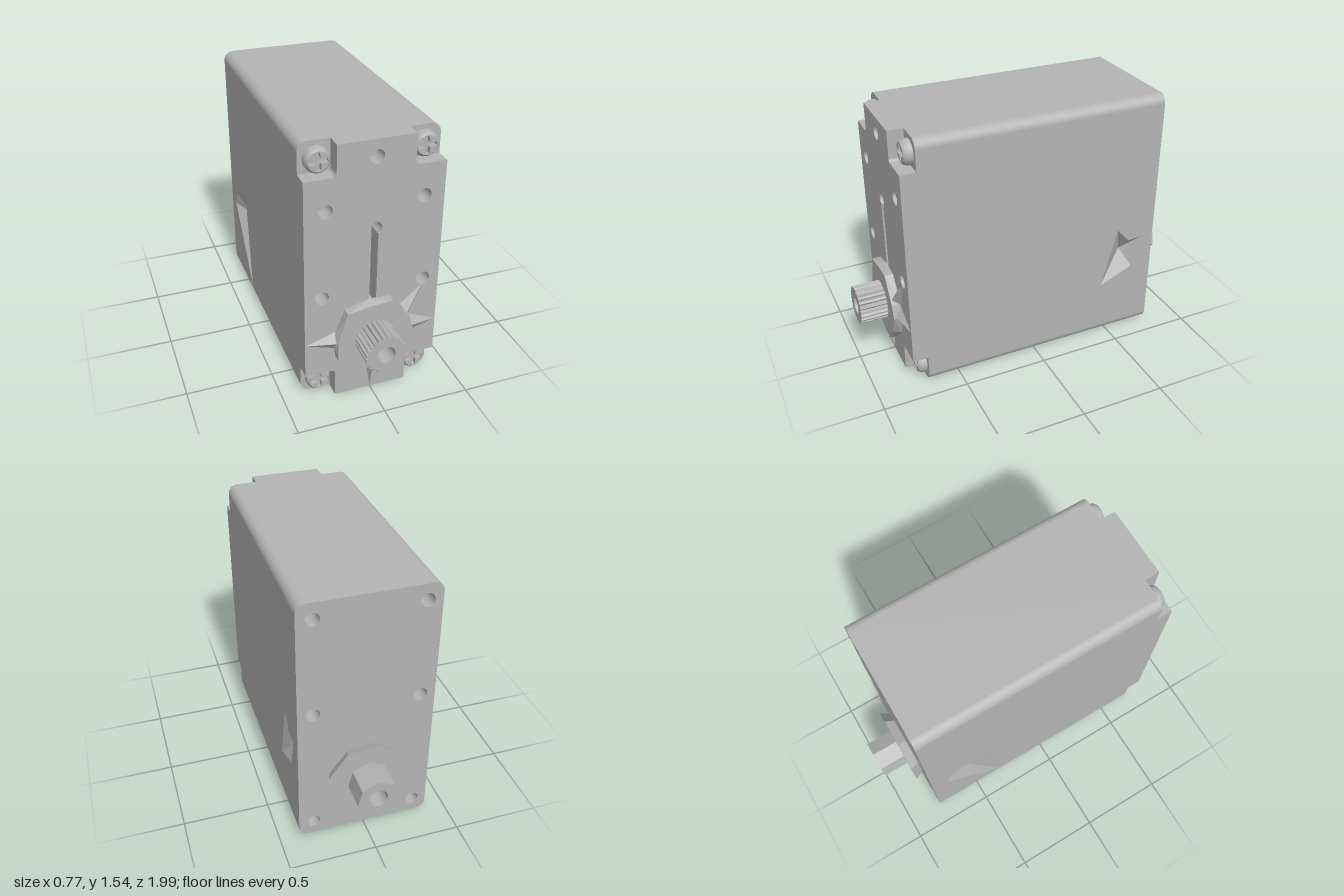
import * as THREE from 'three';
import { toCreasedNormals } from 'three/addons/utils/BufferGeometryUtils.js';
import { ConvexGeometry } from 'three/addons/geometries/ConvexGeometry.js';

const grey = new THREE.MeshStandardMaterial({ color: 0xb4b4b4, side: THREE.DoubleSide });
grey.name = 'plain grey';

const W = 0.385, Y0 = 0.01, Y1 = 1.55, R = 0.055; // case half width, bottom, top, corner radius
const BACK = -0.785, STEP = 0.69, FRONT = 0.78;   // case depth stations
const AXIS = 0.392;                               // height of the output shaft
const SCREWS = [[-0.29, 1.455], [0.29, 1.455], [-0.29, 0.1], [0.29, 0.1]];

export function createModel() {
  const model = new THREE.Group();
  model.name = 'servo';
  const add = (name, geo, x = 0, y = 0, z = 0, parent = model) => {
    const m = new THREE.Mesh(geo, grey);
    m.name = name;
    m.position.set(x, y, z);
    parent.add(m);
    return m;
  };
  const poly = (pts, C = THREE.Shape) => new C(pts.map(p => new THREE.Vector2(p[0], p[1])));
  const circle = (x, y, r, C = THREE.Path) => new C().absarc(x, y, r, 0, Math.PI * 2, false);
  const extrude = (shape, depth) => toCreasedNormals(
    new THREE.ExtrudeGeometry(shape, { depth, bevelEnabled: false, curveSegments: 20 }), 0.6);

  const roundedRect = () => {
    const s = new THREE.Shape();
    s.absarc(W - R, Y1 - R, R, 0, Math.PI / 2);
    s.absarc(-W + R, Y1 - R, R, Math.PI / 2, Math.PI);
    s.absarc(-W + R, Y0 + R, R, Math.PI, Math.PI * 1.5);
    s.absarc(W - R, Y0 + R, R, Math.PI * 1.5, Math.PI * 2);
    return s;
  };

  // Flat case wall with an optional jagged dent sunk to a point
  const wall = (name, u0, u1, v0, v1, dent, apex, turn, pos) => {
    const g = new THREE.Group();
    const s = poly([[u0, v0], [u1, v0], [u1, v1], [u0, v1]]);
    if (dent) {
      s.holes.push(poly(dent, THREE.Path));
      const p = [];
      dent.forEach((a, i) => {
        const b = dent[(i + 1) % dent.length];
        p.push(a[0], a[1], 0, b[0], b[1], 0, ...apex);
      });
      const d = new THREE.BufferGeometry();
      d.setAttribute('position', new THREE.Float32BufferAttribute(p, 3));
      d.computeVertexNormals();
      add(name + 'Dent', d, 0, 0, 0, g);
    }
    add(name, new THREE.ShapeGeometry(s), 0, 0, 0, g);
    g.name = name + 'Group';
    g.rotation.set(turn[0], turn[1], 0);
    g.position.set(...pos);
    model.add(g);
  };
  const q = Math.PI / 2;
  wall('leftWall', -STEP, -BACK, Y0 + R, Y1 - R,
    [[0.44, 0.36], [0.65, 0.45], [0.705, 0.65], [0.62, 0.64], [0.535, 0.73]],
    [0.6, 0.55, -0.08], [0, q], [W, 0, 0]);
  wall('rightWall', BACK, STEP, Y0 + R, Y1 - R,
    [[-0.33, 0.07], [-0.41, 0.72], [-0.65, 0.62], [-0.69, 0.52]],
    [-0.56, 0.5, -0.07], [0, -q], [-W, 0, 0]);
  wall('bottomWall', -W + R, W - R, BACK, STEP,
    [[0.32, -0.35], [0.11, -0.6], [-0.1, -0.59], [-0.325, -0.31]],
    [0, -0.5, -0.07], [q, 0], [0, Y0, 0]);
  wall('topWall', -W + R, W - R, -STEP, -BACK, null, null, [-q, 0], [0, Y1, 0]);

  // Rounded long edges
  [[1, 0], [1, 1], [-1, 1], [-1, 0]].forEach(([sx, up], k) => {
    const g = new THREE.CylinderGeometry(R, R, STEP - BACK, 8, 1, true, k * q, q).rotateX(q);
    add('roundedEdge', g, sx * (W - R), up ? Y1 - R : Y0 + R, (STEP + BACK) / 2);
  });

  // Back plate with six blind holes, and the ledge behind the screws
  const backShape = roundedRect();
  for (const x of [-0.3, 0.3]) for (const y of [0.1, 0.87, 1.455]) {
    backShape.holes.push(circle(x, y, 0.04));
    add('backHole', new THREE.CylinderGeometry(0.04, 0.04, 0.1, 20, 1, true).rotateX(q), x, y, BACK + 0.05);
    add('backHoleFloor', new THREE.CircleGeometry(0.04, 20).rotateY(Math.PI), x, y, BACK + 0.1);
  }
  add('backPlate', new THREE.ShapeGeometry(backShape, 12).rotateY(Math.PI), 0, 0, BACK);
  add('screwLedge', new THREE.ShapeGeometry(roundedRect(), 12), 0, 0, STEP);

  // Front cover: cross outline with holes and a keyhole slot
  const nx = 0.212, lo = 0.183, hi = 1.377, f = 0.025;
  const cover = new THREE.Shape();
  cover.moveTo(-nx, Y0).lineTo(nx, Y0).lineTo(nx, lo - f);
  cover.quadraticCurveTo(nx, lo, nx + f, lo).lineTo(W, lo).lineTo(W, hi).lineTo(nx + f, hi);
  cover.quadraticCurveTo(nx, hi, nx, hi + f).lineTo(nx, Y1).lineTo(-nx, Y1).lineTo(-nx, hi + f);
  cover.quadraticCurveTo(-nx, hi, -nx - f, hi).lineTo(-W, hi).lineTo(-W, lo).lineTo(-nx - f, lo);
  cover.quadraticCurveTo(-nx, lo, -nx, lo - f).closePath();
  for (const [x, y] of [[0, 1.455], [-0.27, 1.195], [0.27, 1.195], [-0.29, 0.683], [0.29, 0.683]])
    cover.holes.push(circle(x, y, 0.04));
  const slot = new THREE.Path();
  slot.moveTo(-0.02, 0.58).lineTo(0.02, 0.58);
  slot.absarc(0, 1.05, 0.04, -q + 0.52, Math.PI * 1.5 - 0.52, false).closePath();
  cover.holes.push(slot);
  add('frontCover', extrude(cover, FRONT - STEP), 0, 0, STEP);

  // Domed cross-head screws
  const star = [];
  for (let i = 0; i < 4; i++) {
    const a = i * q + 0.08;
    for (const [r, t] of [[0.05, -0.18], [0.05, 0.18], [0.02, q / 2]])
      star.push([r * Math.cos(a + t), r * Math.sin(a + t)]);
  }
  const cap = circle(0, 0, 0.055, THREE.Shape);
  cap.holes.push(poly(star, THREE.Path));
  const capGeo = extrude(cap, 0.025);
  const rim = new THREE.LatheGeometry([[0.07, 0], [0.07, 0.02], [0.066, 0.038], [0.055, 0.05]]
    .map(p => new THREE.Vector2(...p)), 24).rotateX(q);
  for (const [x, y] of SCREWS) {
    const g = new THREE.Group();
    g.name = 'screw';
    g.position.set(x, y, STEP);
    add('screwRim', rim, 0, 0, 0, g);
    add('screwCap', capGeo, 0, 0, 0.025, g);
    add('screwSocketFloor', new THREE.CircleGeometry(0.055, 20), 0, 0, 0.025, g);
    model.add(g);
  }

  // Faceted front collar with thin ridges running out to the cover edge
  const ring = [[0.1, 0.222], [0.215, 0.09], [0.228, 0], [0.19, -0.13], [0.094, -0.225],
    [-0.1, -0.205], [-0.21, -0.11], [-0.228, 0.01], [-0.16, 0.19], [-0.02, 0.229]];
  const hull = pts => new ConvexGeometry(pts.map(p => new THREE.Vector3(...p))).toNonIndexed === undefined
    ? null : toCreasedNormals(new ConvexGeometry(pts.map(p => new THREE.Vector3(...p))), 0.2);
  add('frontCollar', hull(ring.flatMap(([x, y], i) => {
    const k = i % 2 ? 0.93 : 1;
    return [[x, y, 0], [x * k, y * k, 0.05]];
  })), 0, AXIS, FRONT);
  const ridges = [
    [[0.385, 0], [0.2, 0.08], [0.2, -0.05]], [[-0.385, 0], [-0.2, 0.06], [-0.2, -0.06]],
    [[0.29, 0.255], [0.16, 0.15], [0.215, 0.07]], [[0, -0.38], [-0.03, -0.21], [0.02, -0.21]]];
  for (const [tip, a, b] of ridges) {
    const mid = [(a[0] + b[0]) / 2, (a[1] + b[1]) / 2];
    add('collarRidge', hull([[...tip, -0.001], [...a, -0.001], [...b, -0.001], [...mid, 0.042]]), 0, AXIS, FRONT);
  }

  // Splined output shaft with a bore
  const teeth = [], N = 24;
  for (let i = 0; i < N; i++)
    for (const [t, r] of [[0, 0.102], [0.3, 0.115], [0.7, 0.115]]) {
      const a = (i + t) / N * Math.PI * 2;
      teeth.push([r * Math.cos(a), r * Math.sin(a)]);
    }
  const spline = poly(teeth);
  spline.holes.push(circle(0, 0, 0.052));
  add('splinedShaft', extrude(spline, 0.16), 0, AXIS, FRONT + 0.05);

  // Back collar, flared towards its rim, and the faceted hollow pivot
  const collar = new THREE.CylinderGeometry(0.21, 0.238, 0.055, 8).rotateX(q).rotateZ(0.25);
  add('backCollar', toCreasedNormals(collar, 0.2), 0, AXIS, BACK - 0.0275);
  const pivot = poly(Array.from({ length: 7 }, (_, i) => {
    const a = i / 7 * Math.PI * 2 + q;
    return [0.118 * Math.cos(a), 0.118 * Math.sin(a)];
  }));
  pivot.holes.push(circle(0, 0, 0.055));
  add('backPivot', extrude(pivot, 0.16), 0, AXIS, -1);
  return model;
}
